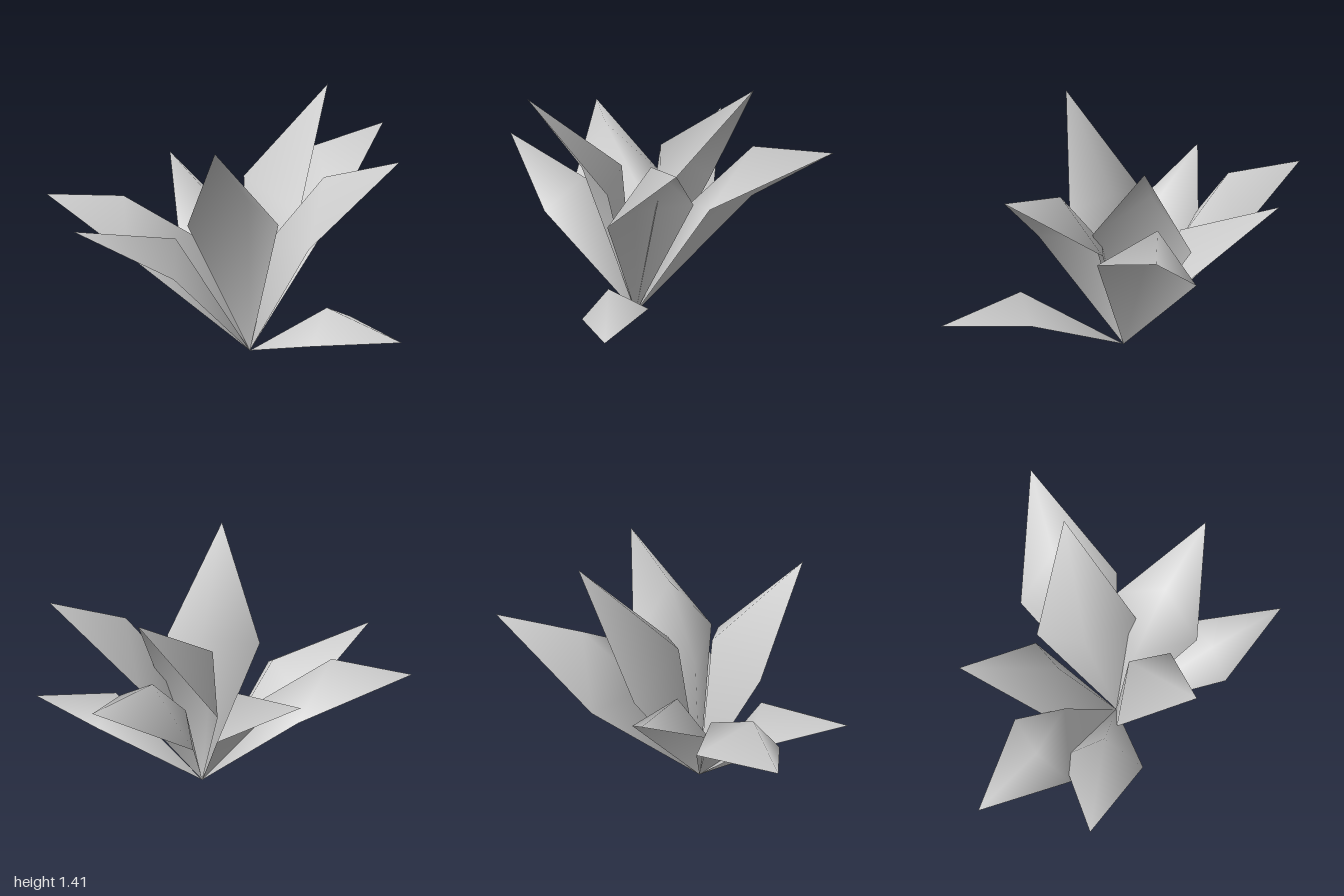
import * as THREE from 'three';

// every leaf grows from this point
const BASE = [0.033, 0, 0.008];

// tip, two side corners (a on the left when looking from base to tip on the inner side), raised midrib points
const LEAVES = [
  { tip: [-1.0, 0.785, 0.0], a: [-0.48, 0.525, 0.23], b: [-0.48, 0.53, -0.23], ribs: [[-0.4, 0.693, 0.0]] },
  { tip: [-0.97, 0.82, -0.64], a: [-0.64, 0.575, -0.16], b: [-0.32, 0.6, -0.52], ribs: [[-0.23, 0.63, -0.25], [-0.6, 0.86, -0.36]] },
  { tip: [1.0, 1.08, -0.61], a: [0.36, 0.64, -0.58], b: [0.567, 0.76, -0.06], ribs: [[0.24, 0.66, -0.22], [0.54, 1.04, -0.42]] },
  { tip: [0.793, 1.16, 0.413], a: [0.45, 0.76, -0.045], b: [0.253, 0.7, 0.437], ribs: [[0.125, 0.665, 0.1], [0.4, 1.055, 0.237]] },
  { tip: [0.603, 1.412, -0.367], a: [0.153, 0.73, -0.46], b: [0.3, 0.8, 0.083], ribs: [[0.05, 0.975, -0.17]] },
  { tip: [-0.323, 1.335, 0.515], a: [0.113, 0.818, 0.305], b: [-0.35, 0.783, 0.063], ribs: [[0.0, 0.905, 0.085]] },
  { tip: [0.673, 0.237, 0.857], a: [0.517, 0.265, 0.368], b: [0.22, 0.18, 0.603], ribs: [[0.337, 0.372, 0.508]] },
  { tip: [-0.18, 0.94, -0.857], a: [-0.28, 0.59, -0.335], b: [0.16, 0.57, -0.467], ribs: [[-0.04, 0.752, -0.31]] },
];

// diamond leaf folded along its midrib; both halves fan out from the side corners
function leafGeometry({ tip, a, b, ribs }) {
  const points = [a, b, BASE, ...ribs, tip];
  const index = [];
  for (let i = 2; i < points.length - 1; i++) {
    index.push(0, i, i + 1);
    index.push(1, i + 1, i);
  }
  const geometry = new THREE.BufferGeometry();
  geometry.setAttribute('position', new THREE.Float32BufferAttribute(points.flat(), 3));
  geometry.setIndex(index);
  geometry.computeVertexNormals();
  return geometry;
}

export function createModel() {
  const group = new THREE.Group();
  group.name = 'plant';
  const leafGrey = new THREE.MeshStandardMaterial({ color: 0xcccccc, side: THREE.DoubleSide });
  leafGrey.name = 'leafGrey';
  LEAVES.forEach((leaf, i) => {
    const mesh = new THREE.Mesh(leafGeometry(leaf), leafGrey);
    mesh.name = `leaf${i + 1}`;
    group.add(mesh);
  });
  return group;
}
